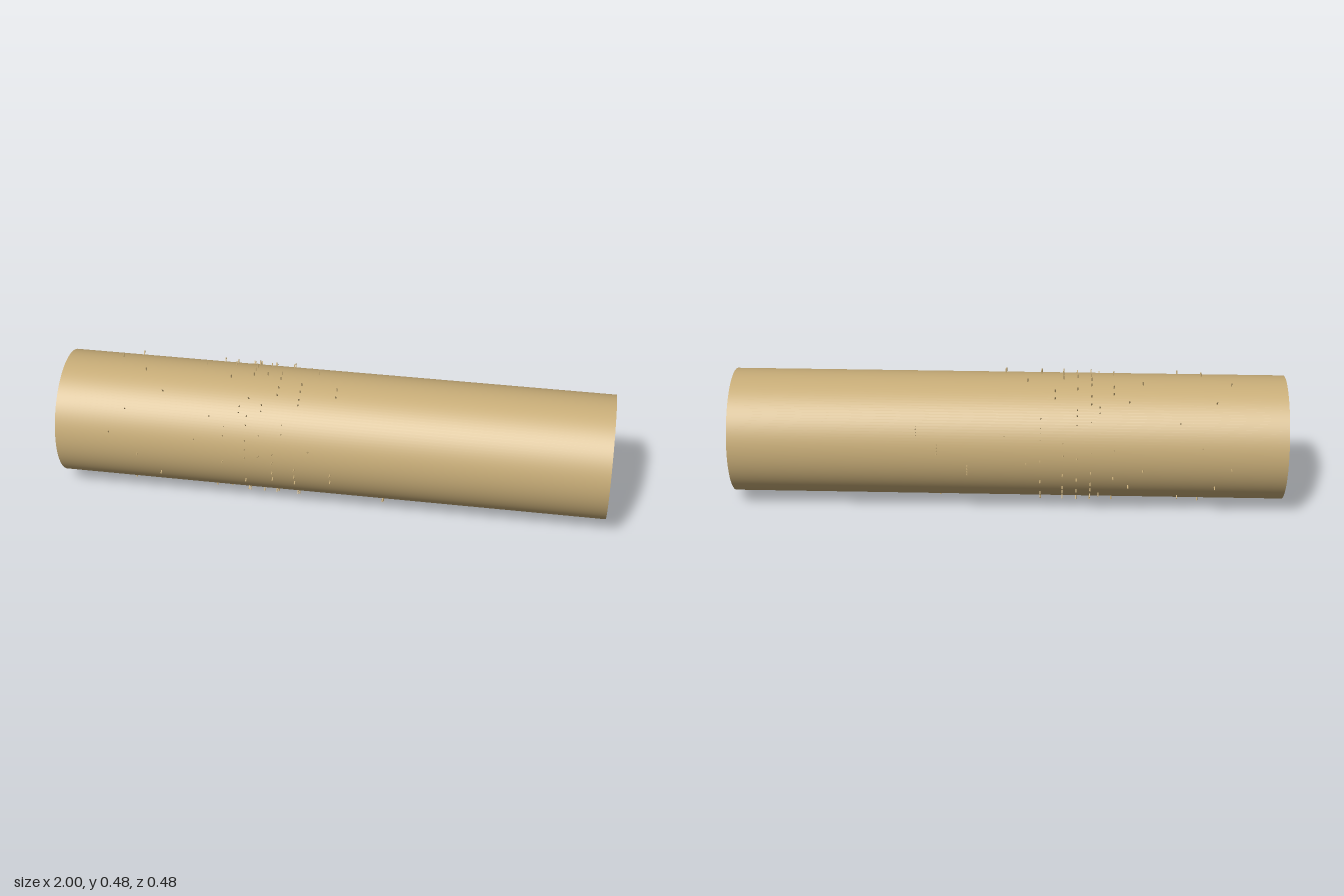
import * as THREE from 'three';

const RADIUS = 0.225;
const TIP = 0.239; // outer reach of the pins
const SLOTS = 128; // angular steps around the drum
const START = THREE.MathUtils.degToRad(-25);

// One entry per angular slot: the x position(s) of the pins there
const THEME = [
  [-0.615, -0.3], [-0.12], [-0.2], [0.01], [-0.12], [-0.2], [0.01], [-0.12],
  [-0.695, -0.38], [-0.2], [-0.3], [-0.25], [-0.2], [-0.3], [-0.07],
  [-0.8, -0.485], [-0.3], [-0.38], [-0.25], [-0.17], [-0.38], [-0.3], [-0.17],
  [-0.745, -0.435], [-0.3], [-0.33], [-0.25], [-0.33], [-0.25], [-0.12],
];
const BRIDGE = [
  [-0.615, -0.3], [-0.25], [-0.12, 0.325], [-0.2, 0.325], [-0.12, 0.325], [0.01, 0.325], [-0.12], [-0.2],
  [-0.695, 0.25], [-0.38, 0.25], [-0.3, 0.25], [-0.2, 0.25], [-0.25], [-0.12], [-0.07],
  [-0.8, 0.14], [-0.485, 0.14], [-0.3, 0.14], [-0.2, 0.14], [-0.38], [-0.25], [-0.12], [-0.3],
  [-0.745, -0.435], [-0.2], [-0.3], [-0.25], [-0.2], [-0.12], [-0.33],
];
const ENDING = [
  [-0.615, -0.3], [-0.12], [-0.2], [-0.12], [-0.25], [-0.3], [-0.2], [-0.12],
  [-0.695, -0.38], [-0.3], [-0.2], [-0.12, 0.25], [-0.25, 0.25], [-0.3, 0.25], [-0.2, 0.25],
  [-0.8, -0.485], [-0.3], [-0.2], [-0.12], [-0.2], [-0.25], [-0.3], [-0.38],
  [-0.745, -0.435], [-0.2, 0.19], [-0.12, 0.19], [-0.25, 0.19], [-0.3, 0.19], [-0.2], [-0.12], [-0.3],
];

export function createModel() {
  const group = new THREE.Group();
  const brass = new THREE.MeshStandardMaterial({ color: 0xc8ad78 });

  // Solid drum lying along x
  const drum = new THREE.Mesh(new THREE.CylinderGeometry(RADIUS, RADIUS, 2, 128), brass);
  drum.name = 'drum';
  drum.rotation.z = Math.PI / 2;
  drum.position.y = TIP;
  group.add(drum);

  // Tiny radial pins, slightly sunk into the drum
  const pins = new THREE.Group();
  pins.name = 'pins';
  pins.position.y = TIP;
  const length = TIP - RADIUS + 0.004;
  const pinGeometry = new THREE.CylinderGeometry(0.0024, 0.0024, length, 8);
  [...THEME, ...THEME, ...BRIDGE, ...ENDING].forEach((slot, i) => {
    const angle = START + (i * Math.PI * 2) / SLOTS;
    const r = TIP - length / 2;
    for (const x of slot) {
      const pin = new THREE.Mesh(pinGeometry, brass);
      pin.name = 'pin';
      pin.position.set(x, r * Math.sin(angle), r * Math.cos(angle));
      pin.rotation.x = Math.PI / 2 - angle;
      pins.add(pin);
    }
  });
  group.add(pins);
  return group;
}
